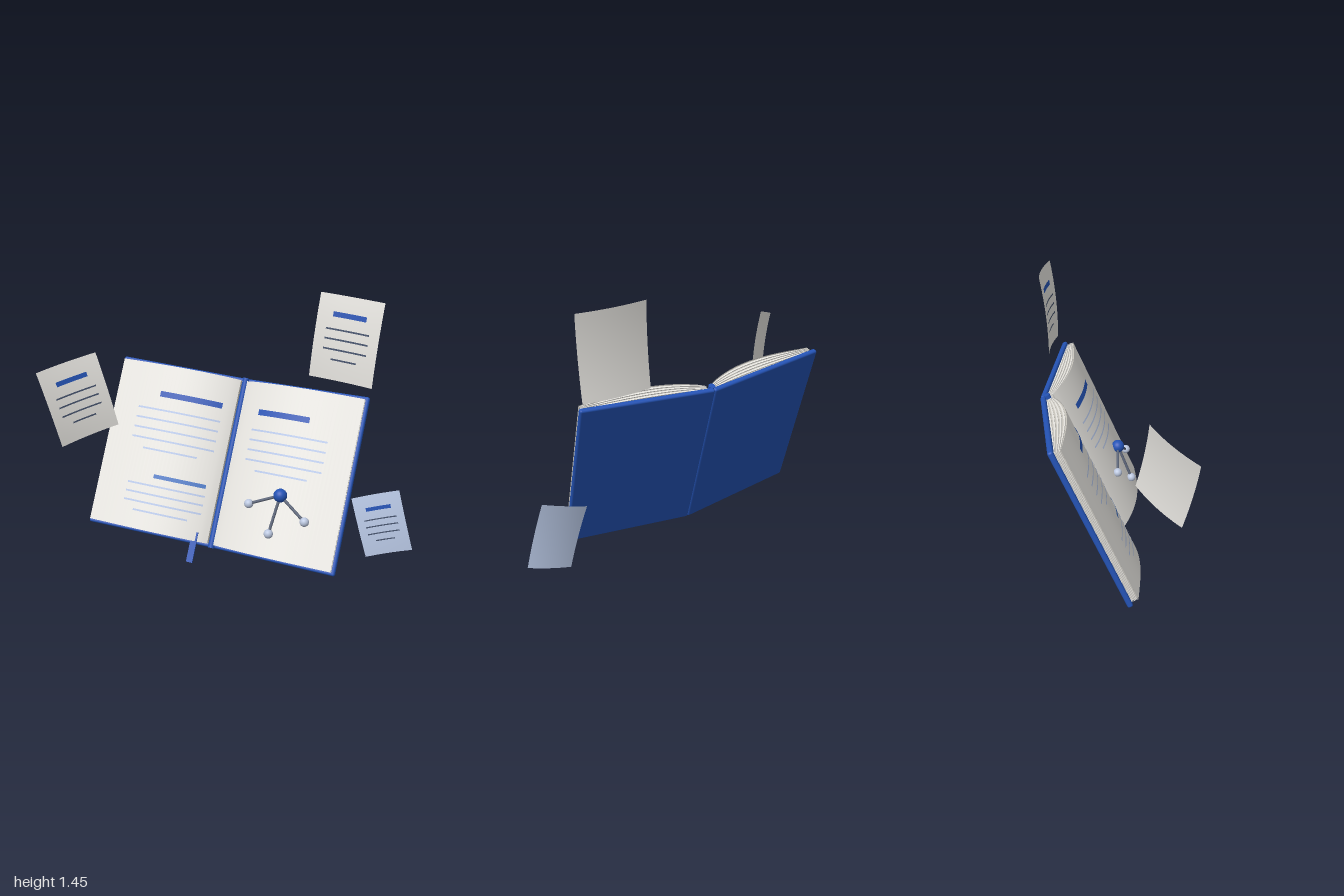
import * as THREE from 'three';
import { RoundedBoxGeometry } from 'three/addons/geometries/RoundedBoxGeometry.js';

const mat = (name, color, side = THREE.FrontSide) => {
  const m = new THREE.MeshStandardMaterial({ color, side });
  m.name = name;
  return m;
};
const V = (x, y, z) => new THREE.Vector3(x, y, z);

// Curved patch: maps the rectangle u0..u1, v0..v1 through fn(u, v)
function patch(fn, u0, u1, v0, v1, nu = 16, nv = 1) {
  const g = new THREE.PlaneGeometry(1, 1, nu, nv);
  const p = g.attributes.position;
  for (let i = 0; i < p.count; i++) {
    const q = fn(u0 + (p.getX(i) + 0.5) * (u1 - u0), v0 + (p.getY(i) + 0.5) * (v1 - v0));
    p.setXYZ(i, q.x, q.y, q.z);
  }
  g.computeVertexNormals();
  return g;
}

export function createModel() {
  const D = THREE.DoubleSide;
  const blue = mat('coverBlue', 0x2453b5, D);
  const paper = mat('paper', 0xf0eee9, D);
  const paperEdge = mat('paperEdge', 0xc9c6be);
  const midBlue = mat('midBlue', 0x4a78c4, D);
  const paleBlue = mat('paleBlue', 0xb9c9ea, D);
  const blueSheet = mat('blueSheet', 0xc0d0ee, D);
  const ink = mat('ink', 0x47546e, D);
  const atomGrey = mat('atomGrey', 0xbcc8e0);
  const bondGrey = mat('bondGrey', 0x5b6478);

  const root = new THREE.Group();
  const add = (parent, name, geo, material) => {
    const m = new THREE.Mesh(geo, material);
    m.name = name;
    parent.add(m);
    return m;
  };

  // Book frame: x across, y along the spine, z out of the pages
  const book = new THREE.Group();
  book.name = 'book';
  book.position.set(0.01, 0.49, -0.105);
  book.quaternion.setFromRotationMatrix(new THREE.Matrix4().makeBasis(
    V(0.939, -0.074, 0.336).normalize(), V(0.207, 0.909, -0.362).normalize(), V(-0.279, 0.4095, 0.869).normalize()));
  root.add(book);

  const TILT = 0.128, COVER_W = 0.727, COVER_H = 0.968, COVER_T = 0.03;
  const IN = 0.018, OUT = 0.7, PAGE_H = 0.93;
  const bed = a => COVER_T + a * TILT;
  const thick = a => {
    const t = Math.min(1, Math.max(0, (a - IN) / (OUT - IN)));
    return 0.035 + 0.06 * Math.sin(Math.PI * Math.pow(t, 0.8));
  };
  const onPage = lift => (a, b) => V(a, b, bed(Math.abs(a)) + thick(Math.abs(a)) + lift);

  for (const s of [1, -1]) {
    const side = s > 0 ? 'left' : 'right';
    // Cover board, hinged on the spine line
    const board = new RoundedBoxGeometry(COVER_W, COVER_H, COVER_T, 2, 0.011);
    board.translate(s * COVER_W / 2, 0, COVER_T / 2);
    add(book, side + 'Cover', board, blue).rotation.y = -s * TILT;

    // Page block as layers lying on the board, every second one slightly inset
    const LAYERS = 10, N = 24;
    for (let k = 0; k < LAYERS; k++) {
      const inset = k % 2 ? 0.005 : 0;
      const pts = [];
      const at = (i, f) => {
        const a = IN + (OUT - inset - IN) * i / N;
        return new THREE.Vector2(s * a, bed(a) + thick(a) * f);
      };
      for (let i = 0; i <= N; i++) pts.push(at(i, k / LAYERS));
      for (let i = N; i >= 0; i--) pts.push(at(i, (k + 1) / LAYERS));
      const h = PAGE_H - inset * 2;
      const g = new THREE.ExtrudeGeometry(new THREE.Shape(pts), { depth: h, bevelEnabled: false });
      g.translate(0, 0, -h / 2);
      g.rotateX(Math.PI / 2);
      add(book, side + 'PageLayer', g, k % 2 ? paperEdge : paper);
    }
    // Smooth open page on top
    const [a0, a1] = s > 0 ? [IN, OUT] : [-OUT, -IN];
    add(book, side + 'OpenPage', patch(onPage(0.002), a0, a1, -PAGE_H / 2, PAGE_H / 2, 32), paper);
  }

  // Spine rod in the gutter
  const spine = new THREE.CylinderGeometry(0.018, 0.018, COVER_H, 16);
  spine.translate(0, 0, 0.04);
  add(book, 'spine', spine, blue);

  // Printed bars on the pages: centre x, y, width, height
  const bar = (name, x, y, w, h, m) =>
    add(book, name, patch(onPage(0.005), x - w / 2, x + w / 2, y - h / 2, y + h / 2), m);
  bar('heading', -0.257, 0.3, 0.35, 0.032, blue);
  bar('heading', 0.286, 0.3, 0.3, 0.032, blue);
  bar('subheading', -0.225, -0.16, 0.29, 0.022, midBlue);
  for (let i = 0; i < 5; i++) {
    const short = i === 4;
    bar('textLine', -0.312, 0.21 - i * 0.056, short ? 0.31 : 0.47, 0.01, paleBlue);
    bar('textLine', 0.335, 0.2 - i * 0.055, short ? 0.3 : 0.44, 0.01, paleBlue);
    if (i < 4) bar('textLine', -0.295, -0.215 - i * 0.049, i === 3 ? 0.31 : 0.44, 0.01, paleBlue);
  }

  // Ribbon bookmark hanging out at the bottom
  const ribbon = new THREE.BoxGeometry(0.036, 0.17, 0.008);
  ribbon.translate(-0.088, -0.499, 0.1);
  add(book, 'ribbon', ribbon, blue);

  // Ball-and-stick cluster floating over the page
  const cluster = new THREE.Group();
  cluster.name = 'molecule';
  root.add(cluster);
  const hub = V(0.273, 0.428, 0.23);
  add(cluster, 'centreBall', new THREE.SphereGeometry(0.037, 24, 16), blue).position.copy(hub);
  for (const p of [V(0.107, 0.358, 0.17), V(0.396, 0.316, 0.326), V(0.209, 0.235, 0.294)]) {
    add(cluster, 'outerBall', new THREE.SphereGeometry(0.025, 20, 14), atomGrey).position.copy(p);
    add(cluster, 'stick', new THREE.TubeGeometry(new THREE.LineCurve3(hub, p), 1, 0.008, 10), bondGrey);
  }

  // Loose curved sheets given by corners: top left, top right, bottom left, bottom right
  function sheet(name, tl, tr, bl, br, bendU, bendV, material) {
    const g = new THREE.Group();
    g.name = name;
    root.add(g);
    const n = tr.clone().sub(tl).cross(tl.clone().sub(bl)).normalize();
    const surf = lift => (u, v) => {
      const top = tl.clone().lerp(tr, u), bottom = bl.clone().lerp(br, u);
      return bottom.lerp(top, v).addScaledVector(n,
        lift + bendU * 4 * u * (1 - u) + bendV * 4 * v * (1 - v));
    };
    add(g, 'sheetPaper', patch(surf(0), 0, 1, 0, 1, 12, 12), material);
    const print = (label, y, w, h, m) =>
      add(g, label, patch(surf(0.004), 0.5 - w / 2, 0.5 + w / 2, y - h / 2, y + h / 2, 8), m);
    print('sheetHeading', 0.775, 0.52, 0.06, blue);
    [0.6, 0.485, 0.365, 0.245].forEach((y, i) => print('sheetLine', y, i === 3 ? 0.4 : 0.68, 0.02, ink));
  }
  sheet('upperSheet', V(0.497, 1.45, -0.16), V(0.82, 1.415, -0.005),
    V(0.44, 0.993, -0.13), V(0.765, 0.957, 0.02), -0.015, 0.012, paper);
  sheet('sideSheet', V(-1, 1.08, 0.16), V(-0.706, 1.16, 0.025),
    V(-0.888, 0.668, 0.135), V(-0.6, 0.754, 0.005), -0.015, 0.012, paper);
  sheet('lowerSheet', V(0.668, 0.364, 0.115), V(0.914, 0.438, 0.18),
    V(0.754, 0.037, 0.16), V(0.995, 0.107, 0.22), -0.01, 0.008, blueSheet);

  return root;
}
